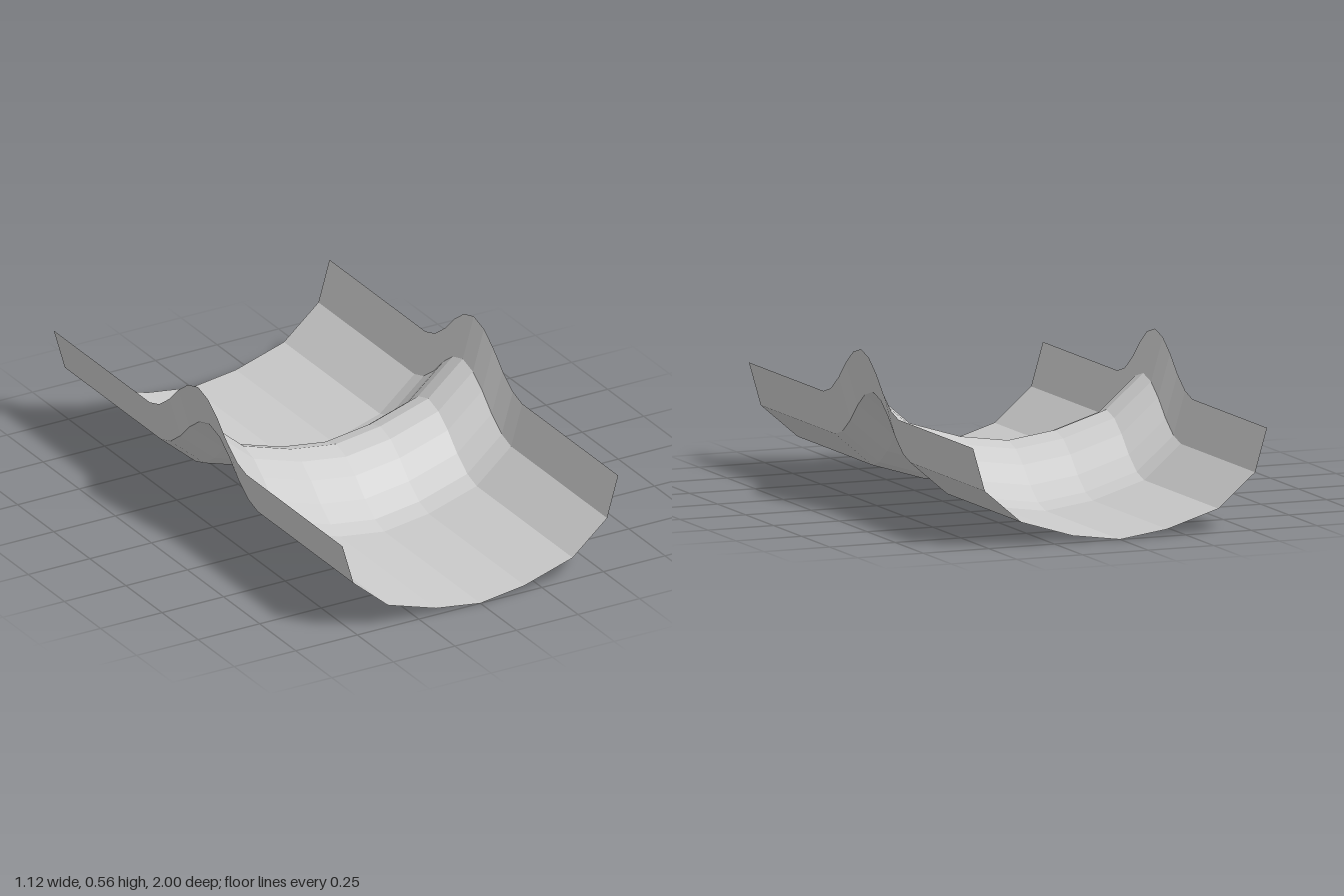
import * as THREE from 'three';

// Half of the trough's cross-section, from the centre line to the rim: [x, y]
const halfProfile = [[0, 0], [0.18, 0.025], [0.375, 0.085], [0.515, 0.205], [0.56, 0.36]];
// Half of the hump along the length, from the crest to the end: [z, lift]
const halfHump = [[0, 0.2], [0.07, 0.18], [0.135, 0.133], [0.2, 0.07], [0.27, 0.02], [0.335, 0], [1, 0]];

// Mirror a half curve about its first point
const mirror = (half) => [...half.slice(1).reverse().map(([a, b]) => [-a, b]), ...half];

export function createModel() {
  const profile = mirror(halfProfile);
  const hump = mirror(halfHump);
  const n = profile.length;
  const positions = [];
  const indices = [];

  // Sweep the cross-section along z, lifted by the hump
  hump.forEach(([z, lift], j) => {
    profile.forEach(([x, y], i) => {
      positions.push(x, y + lift, z);
      if (i < n - 1 && j < hump.length - 1) {
        const a = j * n + i;
        indices.push(a, a + n, a + 1, a + 1, a + n, a + n + 1);
      }
    });
  });

  const geometry = new THREE.BufferGeometry();
  geometry.setAttribute('position', new THREE.Float32BufferAttribute(positions, 3));
  geometry.setIndex(indices);
  geometry.computeVertexNormals();

  const material = new THREE.MeshStandardMaterial({
    color: 0xcccccc, flatShading: true, side: THREE.DoubleSide,
  });
  const trough = new THREE.Mesh(geometry, material);
  trough.name = 'humpedTrough';

  const group = new THREE.Group();
  group.name = 'troughSection';
  group.add(trough);
  return group;
}
